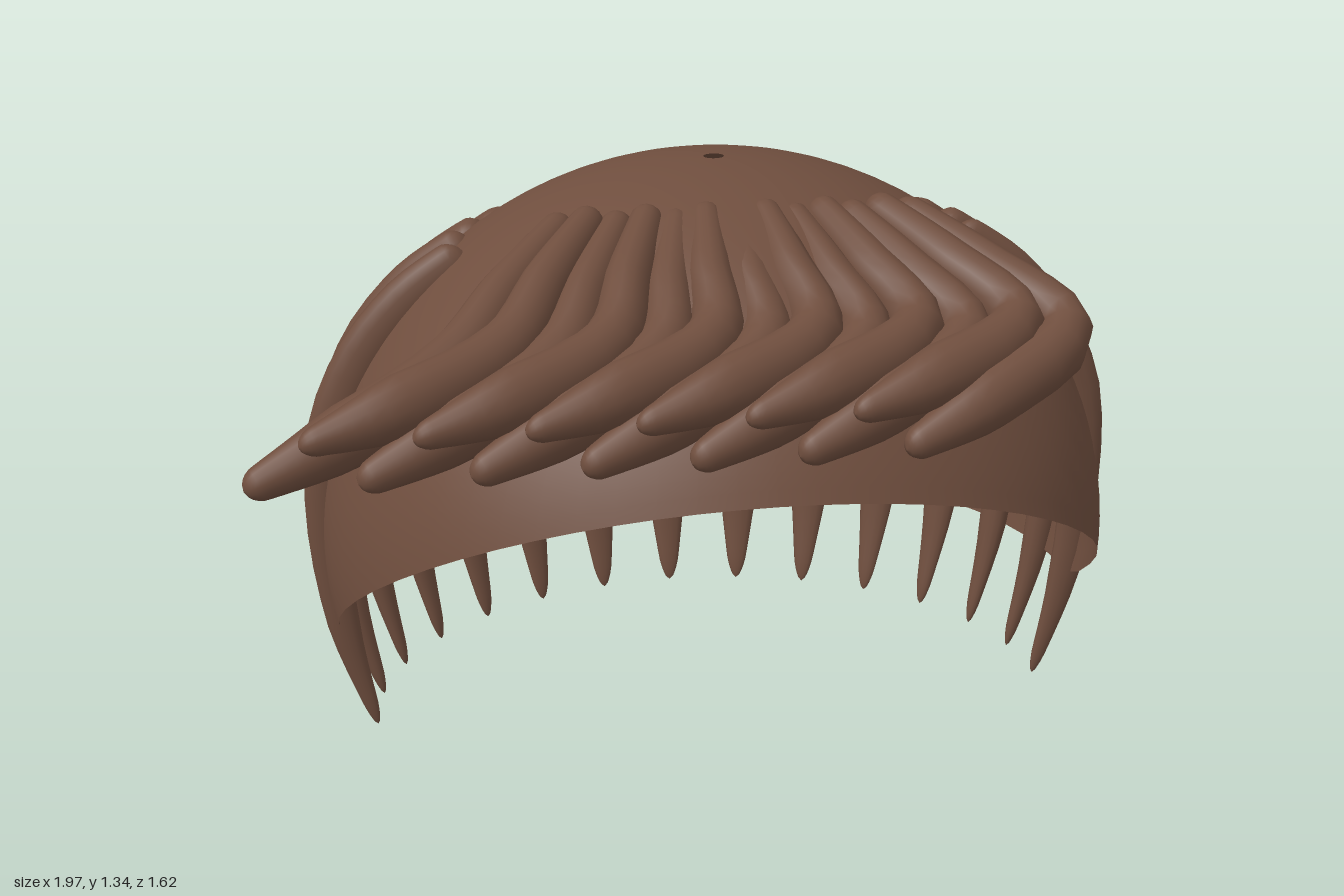
import * as THREE from 'three';

const V = (x, y, z) => new THREE.Vector3(x, y, z);
const lerp = THREE.MathUtils.lerp;
const CX = 0.04; // the cap sits slightly off centre because the fringe sweeps sideways

// Closed or open grid surface: rows of equal length, wrapped around each row
function gridGeometry(rows) {
  const n = rows[0].length, pos = [], idx = [];
  rows.forEach(r => r.forEach(p => pos.push(p.x, p.y, p.z)));
  for (let i = 0; i < rows.length - 1; i++) {
    for (let j = 0; j < n; j++) {
      const a = i * n + j, b = i * n + (j + 1) % n;
      idx.push(a, b, a + n, b, b + n, a + n);
    }
  }
  const g = new THREE.BufferGeometry();
  g.setAttribute('position', new THREE.Float32BufferAttribute(pos, 3));
  g.setIndex(idx);
  g.computeVertexNormals();
  return g;
}

// Elliptical lock of hair swept along points, with rounded ends
function lockGeometry(points, side, halfSide, halfDepth, taper) {
  const curve = new THREE.CatmullRomCurve3(points);
  const rows = [], steps = 30, around = 14;
  for (let i = 0; i <= steps; i++) {
    const s = i / steps;
    const t = s - 0.85 * Math.sin(2 * Math.PI * s) / (2 * Math.PI);
    const p = curve.getPoint(t), T = curve.getTangent(t);
    const N = T.clone().cross(side).normalize();
    const B = N.clone().cross(T).normalize();
    const f = t * (taper.length - 1), k = Math.min(Math.floor(f), taper.length - 2);
    const end = Math.min(1, Math.min(t, 1 - t) / 0.04);
    const w = lerp(taper[k], taper[k + 1], f - k) * Math.sqrt(1 - (1 - end) ** 2);
    const row = [];
    for (let j = 0; j < around; j++) {
      const a = j / around * Math.PI * 2;
      row.push(p.clone()
        .addScaledVector(B, Math.cos(a) * halfSide * w)
        .addScaledVector(N, Math.sin(a) * halfDepth * w));
    }
    rows.push(row);
  }
  return gridGeometry(rows);
}

// Egg-shaped cap with a slanted face opening and a tiny hole at the crown
function capGeometry() {
  const around = 64, down = 28, rows = [];
  const point = (th, a) => {
    const z = Math.sin(th) * Math.sin(a);
    return V(CX + 0.9 * Math.sin(th) * Math.cos(a), 0.48 + 0.865 * Math.cos(th), z * (z > 0 ? 0.835 : 0.815));
  };
  const edge = z => z < 0.03 ? 0.27 : 0.27 + 0.70 * (z - 0.03) + 0.09 * (z - 0.03) ** 2;
  const limits = [];
  for (let j = 0; j < around; j++) {
    const a = -j / around * Math.PI * 2;
    let lo = 0.1, hi = 2.2;
    for (let k = 0; k < 30; k++) {
      const m = (lo + hi) / 2, p = point(m, a);
      if (p.y > edge(p.z)) lo = m; else hi = m;
    }
    limits.push([a, lo]);
  }
  for (let i = 0; i <= down; i++) {
    rows.push(limits.map(([a, max]) => point(lerp(0.025, max, i / down), a)).reverse());
  }
  return gridGeometry(rows);
}

export function createModel() {
  const model = new THREE.Group();
  model.name = 'hair';
  const brown = new THREE.MeshStandardMaterial({ color: 0x6f4e3e, side: THREE.DoubleSide });
  brown.name = 'brown hair';
  const add = (name, geometry, parent = model) => {
    const m = new THREE.Mesh(geometry, brown);
    m.name = name;
    parent.add(m);
  };

  add('cap', capGeometry());

  // Hanging locks around the sides and back: [radius, height]
  const hang = new THREE.Group();
  hang.name = 'hangingLocks';
  model.add(hang);
  const profile = [[0.55, 1.15], [0.68, 1.05], [0.79, 0.92], [0.865, 0.75], [0.888, 0.53], [0.865, 0.27], [0.8, 0.005]];
  for (let i = 0; i < 15; i++) {
    const a = i / 14 * Math.PI, c = Math.cos(a), s = Math.sin(a);
    const pts = profile.map(([r, y]) => V(CX + r * c, y, 0.01 - 0.84 * r * s));
    const side = V(s, 0, 0.84 * c).normalize();
    add('hangingLock', lockGeometry(pts, side, lerp(0.036, 0.088, s), lerp(0.06, 0.036, s),
      [0.85, 1, 1, 0.95, 0.8, 0.62, 0.2]), hang);
  }

  // Swept fringe: long locks alternate with slightly raised ones
  const fringe = new THREE.Group();
  fringe.name = 'fringe';
  model.add(fringe);
  for (let i = 0; i < 13; i++) {
    const u = i / 12, lift = i % 2 ? 0.055 : 0;
    const root = V(lerp(-0.31, 0.4, u), 1.275 + lift * 0.2, 0.21);
    const bend = V(lerp(-0.58, 0.68, u), 1.09 + lift * 0.4, 0.55);
    const tip = V(lerp(-0.99, 0.29, u), 0.945 + lift * 1.5, 0.785);
    const upper = root.clone().lerp(bend, 0.55).add(V(0, 0.01, 0));
    const lower = bend.clone().lerp(tip, 0.55).add(V(0, 0, 0.035));
    add('fringeLock', lockGeometry([root, upper, bend, lower, tip], V(0, 1, 0), 0.066, 0.058,
      [0.6, 0.85, 1, 1, lift ? 0.35 : 0.45]), fringe);
  }
  return model;
}
